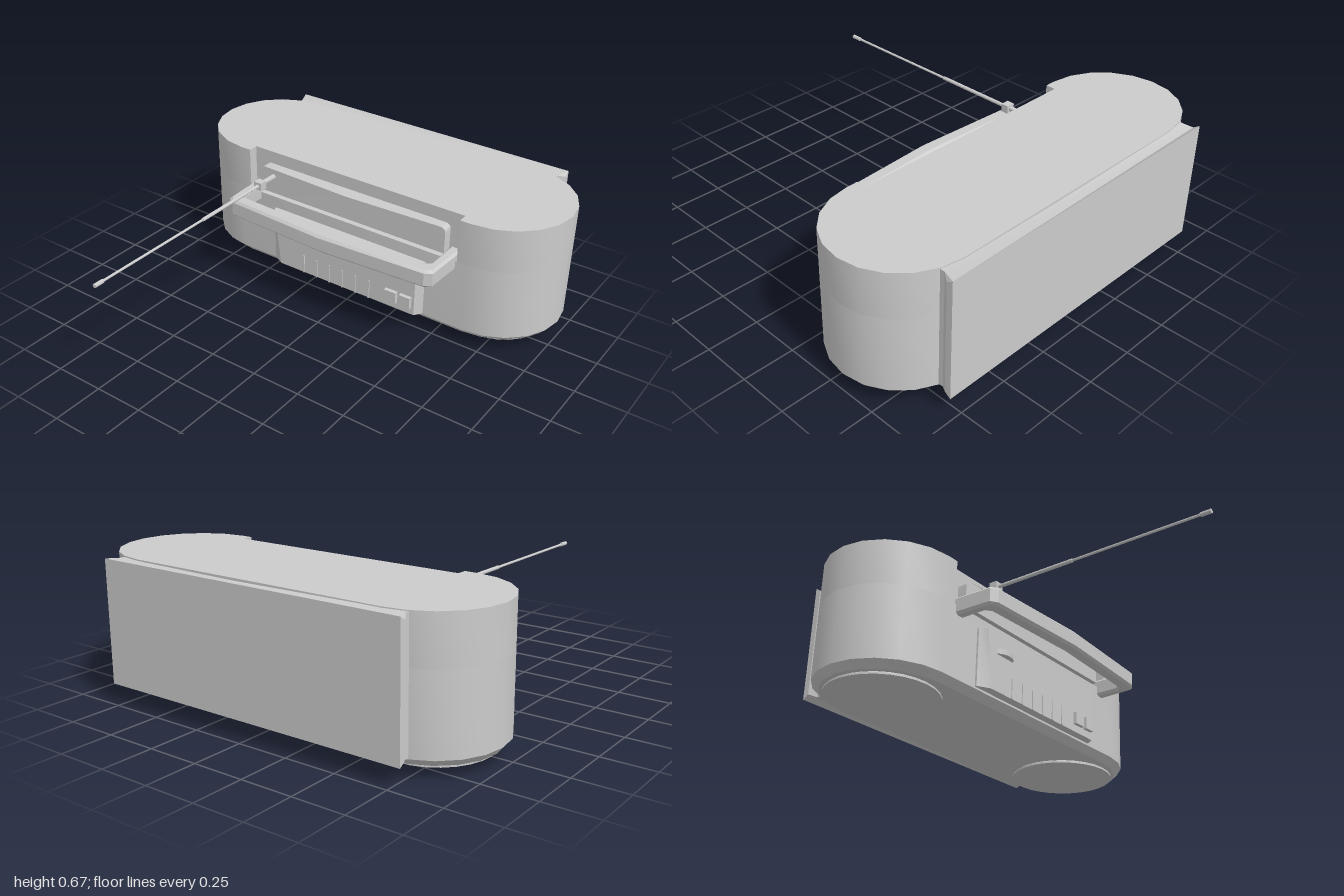
import * as THREE from 'three';
import { toCreasedNormals } from 'three/addons/utils/BufferGeometryUtils.js';

const material = new THREE.MeshStandardMaterial({ color: 0xcccccc });

export function createModel() {
  const model = new THREE.Group();

  function add(name, geometry, x = 0, y = 0, z = 0) {
    const mesh = new THREE.Mesh(geometry, material);
    mesh.name = name;
    mesh.position.set(x, y, z);
    model.add(mesh);
    return mesh;
  }
  const box = (name, w, h, d, x, y, z) => add(name, new THREE.BoxGeometry(w, h, d), x, y, z);

  // Upright prism over a floor outline of [x, z] points; an optional rule moves its vertices
  function prism(points, y0, y1, bevel = 0, rule = null) {
    const shape = new THREE.Shape(points.map(([x, z]) => new THREE.Vector2(x, -z)));
    const geometry = new THREE.ExtrudeGeometry(shape, {
      depth: y1 - y0 - 2 * bevel, bevelEnabled: bevel > 0,
      bevelSize: bevel, bevelThickness: bevel, bevelOffset: -bevel, bevelSegments: 1,
    });
    geometry.rotateX(-Math.PI / 2).translate(0, y0 + bevel, 0);
    if (rule) {
      const p = geometry.attributes.position;
      for (let i = 0; i < p.count; i++) {
        p.setXYZ(i, ...rule(p.getX(i), p.getY(i), p.getZ(i)));
      }
    }
    return toCreasedNormals(geometry, 0.5);
  }

  // Body: a stadium outline, with a shallow front recess in its upper part
  const cz = -0.58;
  const arc = (side) => Array.from({ length: 11 }, (_, i) => {
    const a = (i / 10) * Math.PI;
    return [side * (0.66 + 0.34 * Math.sin(a)), cz + side * 0.33 * Math.cos(a)];
  });
  const outline = [...arc(1), ...arc(-1)];
  const recess = [[-0.605, -0.25], [-0.605, -0.3], [0.605, -0.3], [0.605, -0.25]];
  add('bodyLower', prism(outline, 0.09, 0.45));
  add('bodyUpper', prism([...outline, ...recess], 0.45, 0.67));
  add('bodyBase', prism(outline, 0.055, 0.09, 0, (x, y, z) =>
    y < 0.07 ? [x * 0.97, y, cz + (z - cz) * 0.9] : [x, y, z]));

  // Feet: wide shallow cones with a thin rim
  for (const side of [-1, 1]) {
    const profile = [[0, 0], [0.265, 0.04], [0.265, 0.05], [0.25, 0.06]]
      .map(([r, y]) => new THREE.Vector2(r, y));
    const foot = toCreasedNormals(new THREE.LatheGeometry(profile, 28), 0.5);
    add(side > 0 ? 'leftFoot' : 'rightFoot', foot, side * 0.685, 0, cz);
  }

  // Back plate: flares outward towards a thin rear lip
  const plate = [[-0.77, -0.88], [-0.77, -0.915], [-0.795, -0.95], [-0.795, -0.98],
    [0.795, -0.98], [0.795, -0.95], [0.77, -0.915], [0.77, -0.88]];
  add('backPlate', prism(plate, 0.09, 0.67, 0, (x, y, z) => {
    const inset = z > -0.97 ? (z > -0.93 ? 0.005 : 0.02) : 0;
    return [x, y > 0.4 ? y - inset : y + inset, z];
  }));

  // Display: a rounded panel in the recess, its front gently bowed
  const display = new THREE.Shape();
  const w = 0.535, r = 0.03;
  display.moveTo(-w, 0.47);
  display.lineTo(w, 0.47);
  display.lineTo(w, 0.605 - r);
  display.quadraticCurveTo(w, 0.605, w - r, 0.605);
  for (let i = 1; i < 10; i++) display.lineTo((w - r) * (1 - i / 5), 0.605);
  display.lineTo(-w + r, 0.605);
  display.quadraticCurveTo(-w, 0.605, -w, 0.605 - r);
  for (let i = 0; i < 1; i++) display.lineTo(-w, 0.47);
  const displayGeometry = new THREE.ExtrudeGeometry(display, { depth: 0.05, bevelEnabled: false });
  displayGeometry.translate(0, 0, -0.3);
  const dp = displayGeometry.attributes.position;
  for (let i = 0; i < dp.count; i++) {
    if (dp.getZ(i) > -0.28) dp.setZ(i, -0.228 - 0.022 * Math.abs(dp.getX(i)) / w);
  }
  add('displayPanel', toCreasedNormals(displayGeometry, 0.5));

  // Carrying handle: a U seen from above, with a slightly pointed front bar
  const half = [[0.6, -0.31], [0.59, -0.06], [0.555, -0.038]];
  const inner = [[0.54, -0.31], [0.54, -0.125], [0.52, -0.108]];
  const mirror = (points) => points.map(([x, z]) => [-x, z]).reverse();
  add('handle', prism([
    ...half, [0, -0.008], ...mirror(half),
    ...mirror(inner).reverse(), [0, -0.082], ...[...inner].reverse(),
  ], 0.4, 0.49, 0.012));

  // Control panel with slanted sides
  add('controlPanel', prism([
    [-0.445, -0.28], [-0.445, -0.24], [-0.4, -0.205],
    [0.42, -0.205], [0.445, -0.24], [0.445, -0.28],
  ], 0.1, 0.39, 0, (x, y, z) => {
    if (x < -0.38 && z > -0.22) return [y > 0.2 ? -0.42 : -0.385, y, z];
    return [x, y, z];
  }));

  // Tuning wheel, ribs and buttons on the control panel
  const wheel = new THREE.CylinderGeometry(0.08, 0.08, 0.026, 28);
  add('tuningWheel', toCreasedNormals(wheel, 0.5), -0.295, 0.298, -0.255);
  for (let i = 0; i < 6; i++) {
    box('rib', 0.008, 0.1, 0.02, -0.235 + i * 0.079, 0.15, -0.21);
  }
  box('button', 0.066, 0.062, 0.04, 0.293, 0.168, -0.205);
  box('button', 0.06, 0.062, 0.04, 0.375, 0.168, -0.205);

  // Telescopic antenna pointing forward
  const ax = -0.455, ay = 0.565;
  const rod = (name, radius, z0, z1) => {
    const geometry = new THREE.CylinderGeometry(radius, radius, z1 - z0, 10).rotateX(Math.PI / 2);
    add(name, toCreasedNormals(geometry, 0.7), ax, ay, (z0 + z1) / 2);
  };
  rod('antennaStub', 0.013, -0.26, -0.14);
  box('antennaHinge', 0.044, 0.04, 0.04, ax, ay, -0.14);
  rod('antennaLower', 0.009, -0.14, 0.29);
  rod('antennaUpper', 0.006, 0.29, 0.94);
  rod('antennaTip', 0.01, 0.93, 0.98);

  return model;
}
